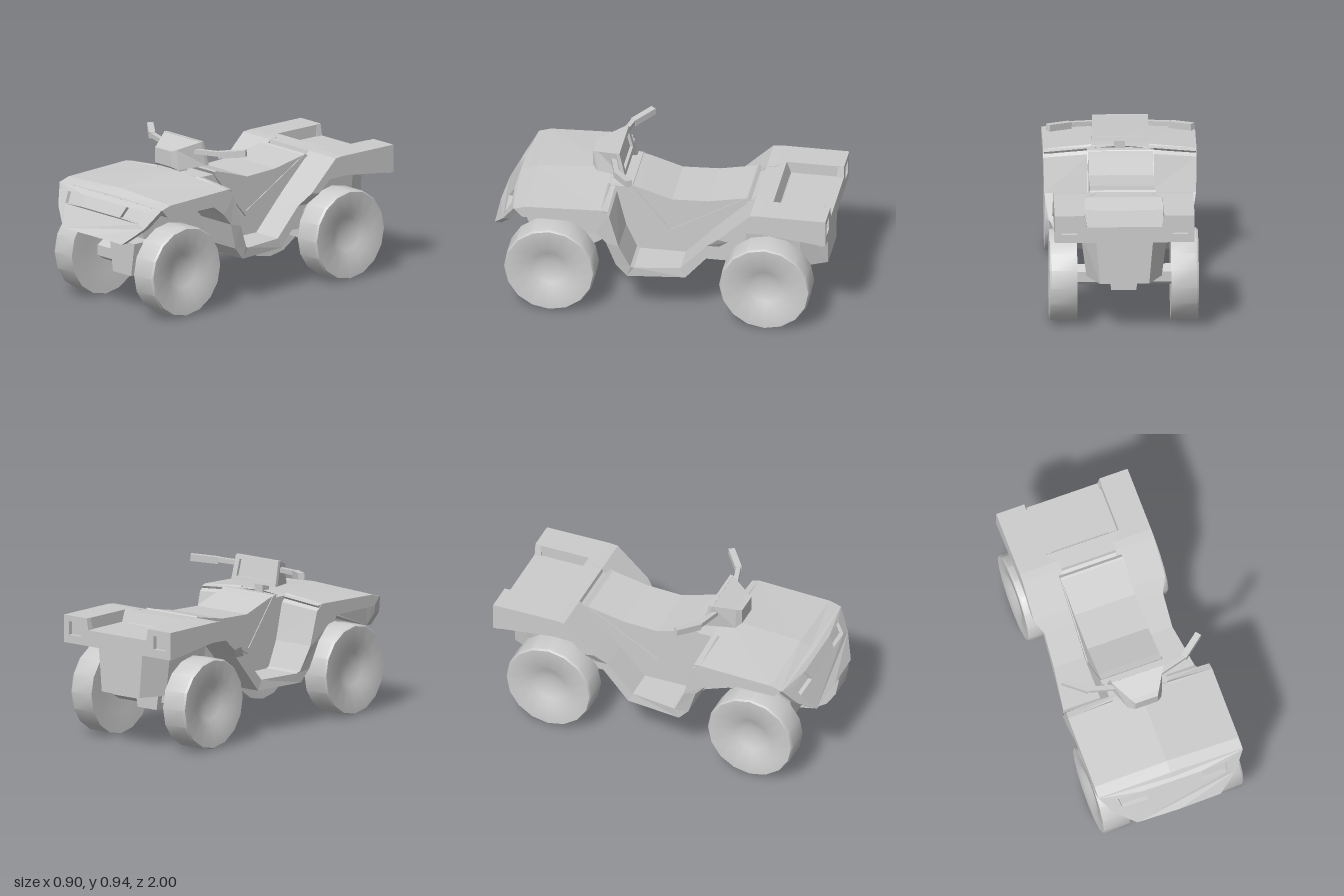
import * as THREE from 'three';
import { toCreasedNormals } from 'three/addons/utils/BufferGeometryUtils.js';

const V = (x, y, z) => new THREE.Vector3(x, y, z);
const material = new THREE.MeshStandardMaterial({ color: 0xcccccc });

export function createModel() {
  const model = new THREE.Group();

  const add = (name, geometry) => {
    const mesh = new THREE.Mesh(geometry, material);
    mesh.name = name;
    model.add(mesh);
    return mesh;
  };
  const flat = (g) => {
    const out = g.index ? g.toNonIndexed() : g;
    out.computeVertexNormals();
    return out;
  };

  // Closed flat-shaded skin over four-cornered rings that run from front to back
  const loft = (name, rings) => {
    const p = [];
    const tri = (...c) => c.forEach((v) => p.push(v.x, v.y, v.z));
    const quad = (a, b, c, d) => { tri(a, b, c); tri(a, c, d); };
    for (let i = 0; i < rings.length - 1; i++) {
      const r = rings[i], s = rings[i + 1];
      for (let j = 0; j < 4; j++) {
        const k = (j + 1) % 4;
        quad(r[j], r[k], s[k], s[j]);
      }
    }
    const [a, b, c, d] = rings[0];
    quad(d, c, b, a);
    quad(...rings[rings.length - 1]);
    const g = new THREE.BufferGeometry();
    g.setAttribute('position', new THREE.Float32BufferAttribute(p, 3));
    g.computeVertexNormals();
    return add(name, g);
  };

  // Band on one side; station: [zTop, yTop, zBottom, yBottom, xOuter, xInner, yInnerTop]
  const band = (name, stations, side) => loft(name, stations.map(([zt, yt, zb, yb, xo, xi, yi = yt]) => {
    const ring = [V(side * xo, yt, zt), V(side * xo, yb, zb), V(side * xi, yb, zb), V(side * xi, yi, zt)];
    return side > 0 ? ring : ring.reverse();
  }));

  // Plate drawn in x/y, then pushed along z by a rule
  const path = (pts) => pts.map(([x, y]) => new THREE.Vector2(x, y));
  const plate = (name, outline, holes, depth, zRule) => {
    const shape = new THREE.Shape(path(outline));
    holes.forEach((h) => shape.holes.push(new THREE.Path(path(h))));
    const g = new THREE.ExtrudeGeometry(shape, { depth, bevelEnabled: false });
    const p = g.attributes.position;
    for (let i = 0; i < p.count; i++) p.setZ(i, p.getZ(i) + zRule(p.getX(i), p.getY(i)));
    return add(name, flat(g));
  };

  // Side profile of [z, y] points, extruded to both sides of the centre
  const profile = (name, pts, half) => {
    const shape = new THREE.Shape(path(pts.map(([z, y]) => [-z, y])));
    const g = new THREE.ExtrudeGeometry(shape, { depth: half * 2, bevelEnabled: false });
    g.translate(0, 0, -half).rotateY(Math.PI / 2);
    return add(name, flat(g));
  };

  // Block that narrows towards its bottom
  const taperedBlock = (name, w, h, d, taper, y, z) => {
    const g = new THREE.BoxGeometry(w, h, d);
    const p = g.attributes.position;
    for (let i = 0; i < p.count; i++) if (p.getY(i) < 0) p.setX(i, p.getX(i) * taper);
    return add(name, flat(g.translate(0, y, z)));
  };

  const beam = (name, a, b, w, h) => {
    const mesh = add(name, new THREE.BoxGeometry(w, h, a.distanceTo(b)));
    mesh.position.copy(a).lerp(b, 0.5);
    mesh.lookAt(b);
  };
  const mirrorX = (pts) => pts.map(([x, y]) => [-x, y]).reverse();

  // Wheels with dished hubs, and axles
  const wheelProfile = path([[0, 0.3], [0.15, 0.28], [0.27, 0.275], [0.27, 0.425],
    [0.262, 0.437], [0.15, 0.432], [0.1, 0.405], [0.05, 0.393], [0, 0.39]]);
  const wheelGeometry = toCreasedNormals(
    new THREE.LatheGeometry(wheelProfile, 16).rotateZ(-Math.PI / 2), 0.6);
  for (const z of [0.64, -0.64]) {
    for (const side of [1, -1]) {
      const wheel = add(z > 0 ? 'frontWheel' : 'rearWheel', wheelGeometry);
      wheel.position.set(0, 0.27, z);
      if (side < 0) wheel.rotation.y = Math.PI;
    }
    const axle = new THREE.CylinderGeometry(0.063, 0.063, 0.6, 6).rotateZ(Math.PI / 2);
    axle.rotateX(Math.PI / 2);
    add('axle', flat(axle)).position.set(0, 0.27, z);
  }
  taperedBlock('frontGearbox', 0.22, 0.2, 0.24, 0.73, 0.295, 0.64);
  taperedBlock('rearGearbox', 0.2, 0.18, 0.18, 0.73, 0.29, -0.64);

  // Central body and the tail box with chamfered rear corners
  profile('centralBody', [[0.79, 0.64], [0.75, 0.44], [0.4, 0.39], [0.25, 0.335], [0.18, 0.265],
    [-0.16, 0.265], [-0.22, 0.29], [-0.45, 0.29], [-0.6, 0.33], [-0.85, 0.33], [-0.85, 0.62],
    [-0.56, 0.73], [-0.5, 0.7], [-0.05, 0.64], [0.2, 0.735], [0.32, 0.735]], 0.18);
  const tail = new THREE.ExtrudeGeometry(new THREE.Shape(path([[-0.26, 0.5], [0.26, 0.5],
    [0.26, 0.82], [0.17, 0.97], [-0.17, 0.97], [-0.26, 0.82]])), { depth: 0.3, bevelEnabled: false });
  tail.rotateX(-Math.PI / 2).scale(1, 1, 1).translate(0, 0.32, 0);
  const tp = tail.attributes.position;
  for (let i = 0; i < tp.count; i++) if (tp.getY(i) < 0.4) tp.setX(i, tp.getX(i) * 0.85);
  add('tailBox', flat(tail));

  // Hood, leg shields, footrests and rear fenders
  for (const side of [1, -1]) {
    band('hood', [
      [0.845, 0.68, 0.8, 0.63, 0.45, 0, 0.69],
      [0.78, 0.7, 0.76, 0.63, 0.45, 0, 0.72],
      [0.33, 0.718, 0.44, 0.63, 0.45, 0, 0.748],
      [0.29, 0.71, 0.38, 0.6, 0.445, 0, 0.748],
    ], side);
    band('legShieldAndFootrest', [
      [0.33, 0.718, 0.44, 0.63, 0.45, 0.17, 0.745],
      [0.28, 0.68, 0.36, 0.57, 0.45, 0.17, 0.7],
      [0.225, 0.48, 0.3, 0.5, 0.445, 0.17],
      [0.16, 0.335, 0.245, 0.34, 0.42, 0.17],
      [0.14, 0.325, 0.18, 0.265, 0.41, 0.17],
      [-0.13, 0.325, -0.16, 0.265, 0.37, 0.17],
      [-0.29, 0.495, -0.36, 0.495, 0.37, 0.17],
      [-0.36, 0.565, -0.42, 0.555, 0.41, 0.17],
      [-0.55, 0.745, -0.5, 0.625, 0.41, 0.17],
    ], side);
    band('rearFender', [
      [-0.55, 0.745, -0.5, 0.625, 0.41, 0.17],
      [-0.6, 0.75, -0.62, 0.63, 0.41, 0.17],
      [-0.66, 0.75, -0.66, 0.625, 0.41, 0.23],
      [-0.965, 0.75, -0.965, 0.588, 0.41, 0.23],
    ], side);
    // Sunken luggage tray between the fenders, with a sloped front wall
    band('luggageTray', [
      [-0.55, 0.745, -0.52, 0.63, 0.235, 0],
      [-0.66, 0.75, -0.64, 0.625, 0.235, 0],
      [-0.685, 0.68, -0.685, 0.62, 0.235, 0],
      [-0.965, 0.68, -0.965, 0.588, 0.235, 0],
    ], side);
  }

  // Sloping nose with recessed headlights
  const noseRule = (x, y) => 0.835 + (0.69 - y) * 0.56 - 0.15 * x * x;
  const noseHalf = [[0.26, 0.462], [0.38, 0.565], [0.45, 0.68]];
  const headlight = [[0.165, 0.595], [0.325, 0.585], [0.34, 0.65], [0.185, 0.658]];
  plate('nose', [[0, 0.467], ...noseHalf, [0, 0.69], ...mirrorX(noseHalf)],
    [headlight, mirrorX(headlight)], 0.04, noseRule);
  for (const h of [headlight, mirrorX(headlight)]) plate('headlight', h, [], 0.015, noseRule);

  // Tail plate with recessed lamps
  const lamp = [[0.28, 0.635], [0.37, 0.635], [0.37, 0.715], [0.28, 0.715]];
  const tailHalf = [[0.41, 0.585], [0.41, 0.75], [0.235, 0.75], [0.222, 0.68]];
  plate('tailPlate', [...tailHalf, ...mirrorX(tailHalf)], [lamp, mirrorX(lamp)], 0.04, () => -1);
  for (const l of [lamp, mirrorX(lamp)]) plate('tailLamp', l, [], 0.015, () => -0.975);

  // Seat cushion above its V-shaped trim
  profile('seatTrim', [[0.215, 0.755], [0.19, 0.71], [-0.04, 0.44], [-0.52, 0.725], [-0.5, 0.74],
    [-0.04, 0.475], [0.185, 0.755]], 0.195);
  profile('seat', [[0.2, 0.755], [-0.04, 0.475], [-0.5, 0.735], [-0.27, 0.69], [-0.05, 0.68],
    [0.14, 0.74]], 0.19);

  // Steering stem, instrument pod and handlebars
  beam('steeringStem', V(0, 0.7, 0.31), V(0, 0.8, 0.31), 0.06, 0.06);
  const podRing = (xt, yt, zt, xb, yb, zb) =>
    [V(xt, yt, zt), V(xb, yb, zb), V(-xb, yb, zb), V(-xt, yt, zt)];
  loft('instrumentPod', [
    podRing(0.07, 0.893, 0.44, 0.07, 0.8, 0.44),
    podRing(0.088, 0.9, 0.41, 0.105, 0.78, 0.41),
    podRing(0.163, 0.942, 0.285, 0.168, 0.795, 0.25),
  ]);
  plate('podRim', [[-0.17, 0.795], [0.17, 0.795], [0.163, 0.943], [-0.163, 0.943]],
    [[[-0.135, 0.82], [0.135, 0.82], [0.13, 0.918], [-0.13, 0.918]]], 0.02,
    (x, y) => 0.232 + (y - 0.795) * 0.24);
  for (const side of [1, -1]) {
    beam('handlebar', V(side * 0.12, 0.884, 0.31), V(side * 0.31, 0.893, 0.26), 0.028, 0.028);
    beam('grip', V(side * 0.295, 0.888, 0.265), V(side * 0.425, 0.905, 0.165), 0.038, 0.04);
  }

  return model;
}
